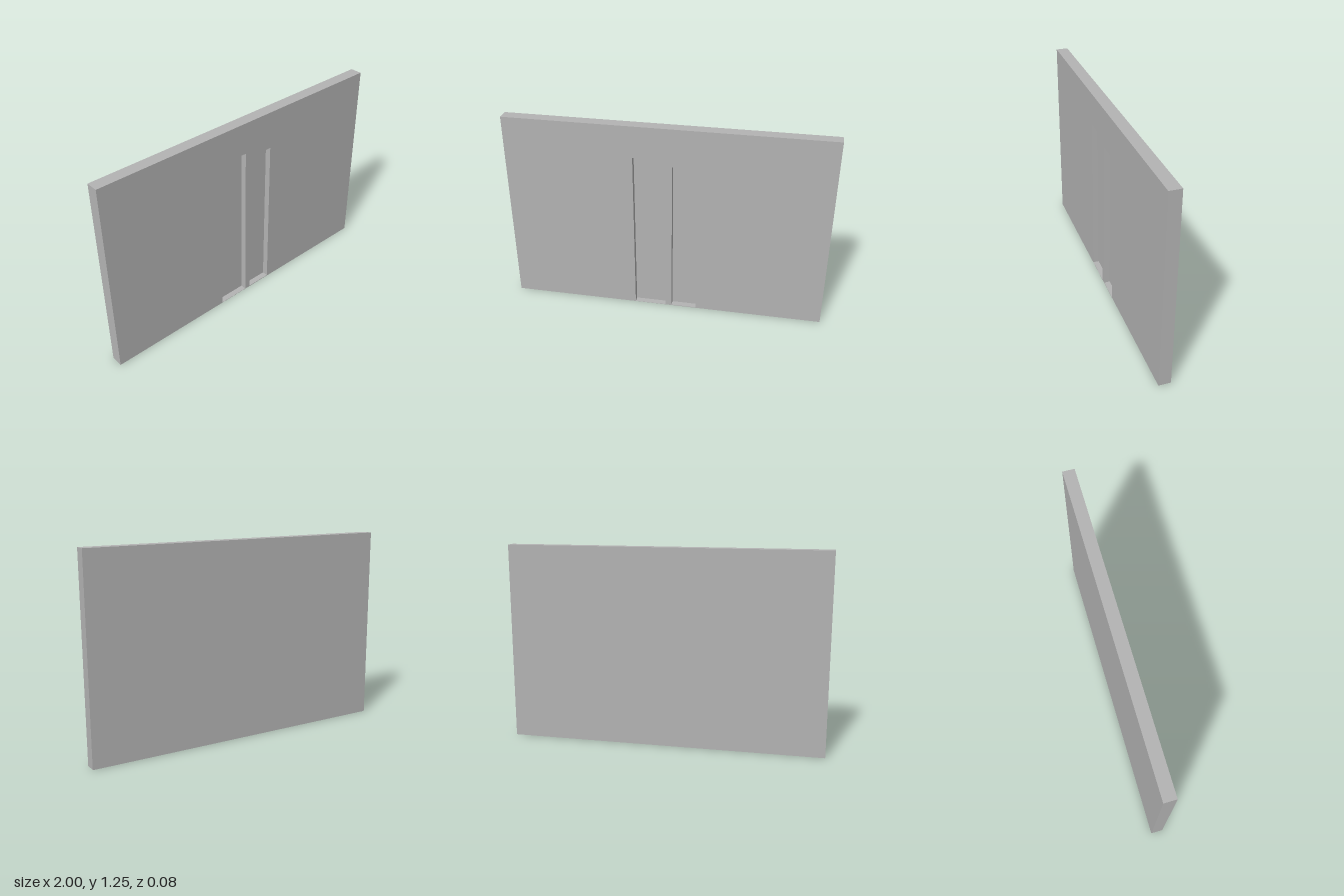
import * as THREE from 'three';

const W = 2, H = 1.25, T = 0.075, RECESS = 0.038;

// Rectangular outline from two corners
function rect(path, x0, y0, x1, y1) {
  path.moveTo(x0, y0);
  path.lineTo(x1, y0);
  path.lineTo(x1, y1);
  path.lineTo(x0, y1);
  path.closePath();
  return path;
}

export function createModel() {
  const group = new THREE.Group();
  group.name = 'wallPanel';
  const grey = new THREE.MeshStandardMaterial({ color: 0xb4b4b4 });
  grey.name = 'plainGrey';

  // Solid rear layer, which closes the back of both recesses
  const back = new THREE.Mesh(new THREE.BoxGeometry(W, H, T - RECESS), grey);
  back.name = 'backSlab';
  back.position.set(0, H / 2, -RECESS / 2);
  group.add(back);

  // Front layer with a tall and a slightly shorter recess, each on a thin sill
  const face = rect(new THREE.Shape(), -W / 2, 0, W / 2, H);
  face.holes.push(
    rect(new THREE.Path(), -0.2, 0.002, 0, 1.05),
    rect(new THREE.Path(), 0.04, 0.004, 0.2, 1.01),
  );
  const front = new THREE.Mesh(
    new THREE.ExtrudeGeometry(face, { depth: RECESS, bevelEnabled: false }), grey);
  front.name = 'recessedFront';
  front.position.z = T / 2 - RECESS;
  group.add(front);

  return group;
}
